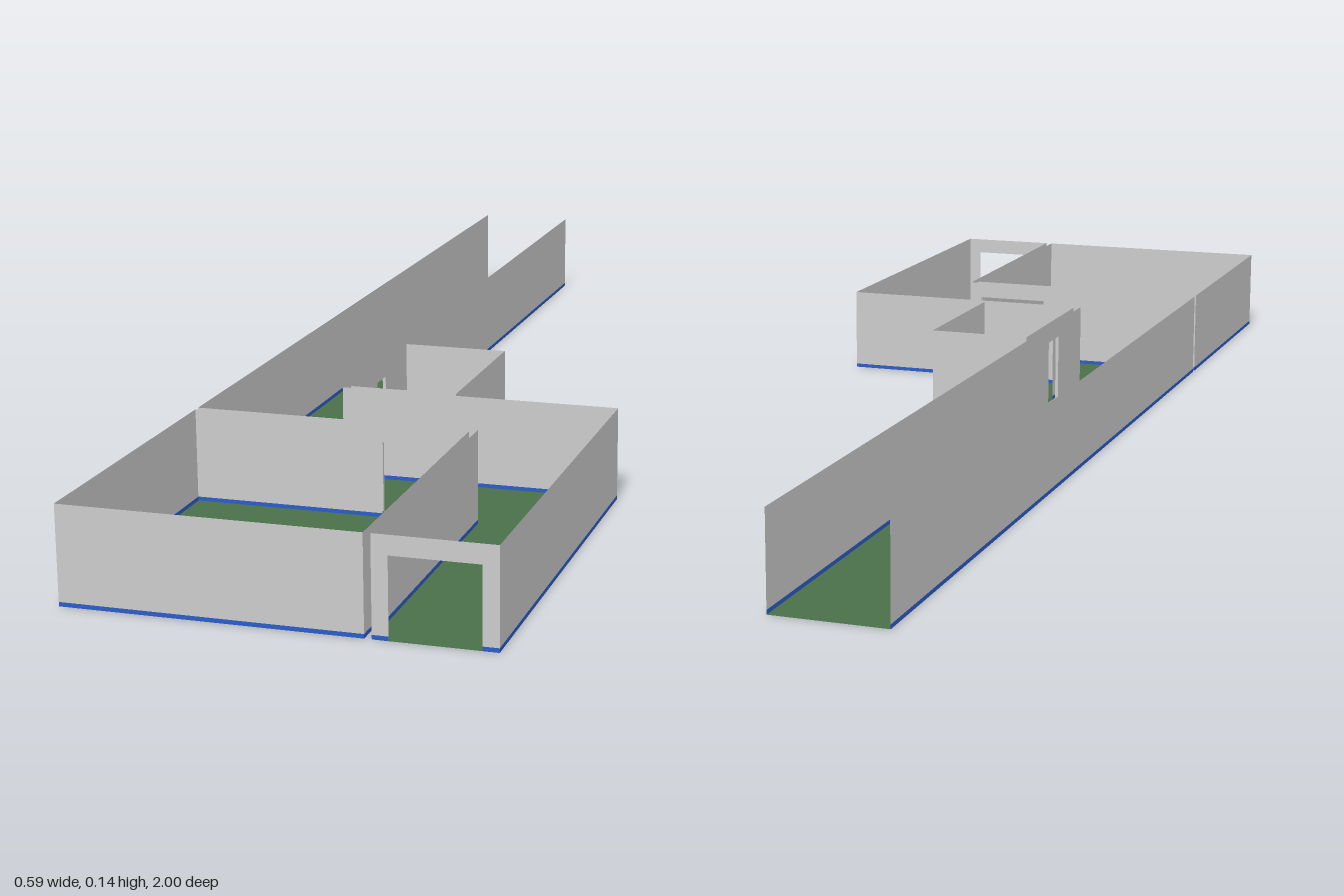
import * as THREE from 'three';

const HEIGHT = 0.139, SKIRT = 0.006, DOOR_HEIGHT = 0.112;
const wallMat = new THREE.MeshStandardMaterial({ color: 0xcccccc, side: THREE.DoubleSide });
const floorMat = new THREE.MeshStandardMaterial({ color: 0x4a704a, side: THREE.DoubleSide });
const skirtMat = new THREE.MeshStandardMaterial({ color: 0x2a5cc8, side: THREE.DoubleSide });

const outline = (points) =>
  new THREE.ShapeGeometry(new THREE.Shape(points.map(([x, y]) => new THREE.Vector2(x, y))));

function add(parent, name, geometry, material) {
  const mesh = new THREE.Mesh(geometry, material);
  mesh.name = name;
  parent.add(mesh);
  return mesh;
}

// Thin wall from a to b ([x, z]); door is [start, end] measured along the wall
function addWall(parent, name, a, b, door) {
  const dx = b[0] - a[0], dz = b[1] - a[1], length = Math.hypot(dx, dz);
  const wall = new THREE.Group();
  wall.name = name;
  wall.position.set(a[0], 0, a[1]);
  wall.rotation.y = Math.atan2(-dz, dx);
  const notch = door
    ? [[door[0], SKIRT], [door[0], DOOR_HEIGHT], [door[1], DOOR_HEIGHT], [door[1], SKIRT]] : [];
  add(wall, name + 'Panel',
    outline([[0, SKIRT], ...notch, [length, SKIRT], [length, HEIGHT], [0, HEIGHT]]), wallMat);
  // coloured strip along the foot, broken at the doorway
  const runs = door ? [[0, door[0]], [door[1], length]] : [[0, length]];
  for (const [s, e] of runs) {
    add(wall, 'skirting', outline([[s, 0], [e, 0], [e, SKIRT], [s, SKIRT]]), skirtMat);
  }
  parent.add(wall);
}

// Room or passage: floor outline, plus walls between listed corners
function addRoom(parent, name, corners, openEdges = [], doors = {}) {
  const room = new THREE.Group();
  room.name = name;
  add(room, name + 'Floor', outline(corners.map(([x, z]) => [x, -z])), floorMat)
    .rotation.x = -Math.PI / 2;
  corners.forEach((corner, i) => {
    if (openEdges.includes(i)) return;
    addWall(room, name + 'Wall' + i, corner, corners[(i + 1) % corners.length], doors[i]);
  });
  parent.add(room);
}

// Lining of a doorway: threshold, lintel and two jambs, spanning the gap
function addReveal(parent, name, x, z, width, depth, turn) {
  const frame = new THREE.Group();
  frame.name = name;
  frame.position.set(x, 0, z);
  frame.rotation.y = turn;
  const flat = () => new THREE.PlaneGeometry(width, depth).rotateX(-Math.PI / 2);
  add(frame, 'threshold', flat(), floorMat);
  add(frame, 'lintel', flat(), wallMat).position.y = DOOR_HEIGHT;
  for (const side of [-1, 1]) {
    add(frame, 'jamb', new THREE.PlaneGeometry(depth, DOOR_HEIGHT).rotateY(Math.PI / 2), wallMat)
      .position.set(side * width / 2, DOOR_HEIGHT / 2, 0);
  }
  parent.add(frame);
}

export function createModel() {
  const model = new THREE.Group();
  model.name = 'floorPlan';

  // Stepped corridor, open at the back end, doorway at the front end
  addRoom(model, 'corridor', [
    [-0.295, -1], [-0.295, 0.53], [0.13, 0.53], [0.13, 1],
    [0.295, 1], [0.295, 0.365], [-0.13, 0.365], [-0.13, -1],
  ], [7], { 1: [0.285, 0.407], 3: [0.022, 0.143], 6: [0.132, 0.188] });

  // Large room beside the front leg of the corridor
  addRoom(model, 'largeRoom',
    [[-0.295, 0.54], [-0.295, 1], [0.12, 1], [0.12, 0.54]],
    [], { 3: [0.008, 0.13] });

  // Small side room
  addRoom(model, 'smallRoom',
    [[-0.12, 0.085], [-0.12, 0.355], [0.045, 0.355], [0.045, 0.085]],
    [], { 0: [0.092, 0.148] });

  // Doorway linings, reaching halfway from the corridor
  addReveal(model, 'largeRoomDoorway', 0.051, 0.5325, 0.122, 0.005, 0);
  addReveal(model, 'smallRoomDoorway', -0.1275, 0.205, 0.056, 0.005, Math.PI / 2);
  return model;
}
